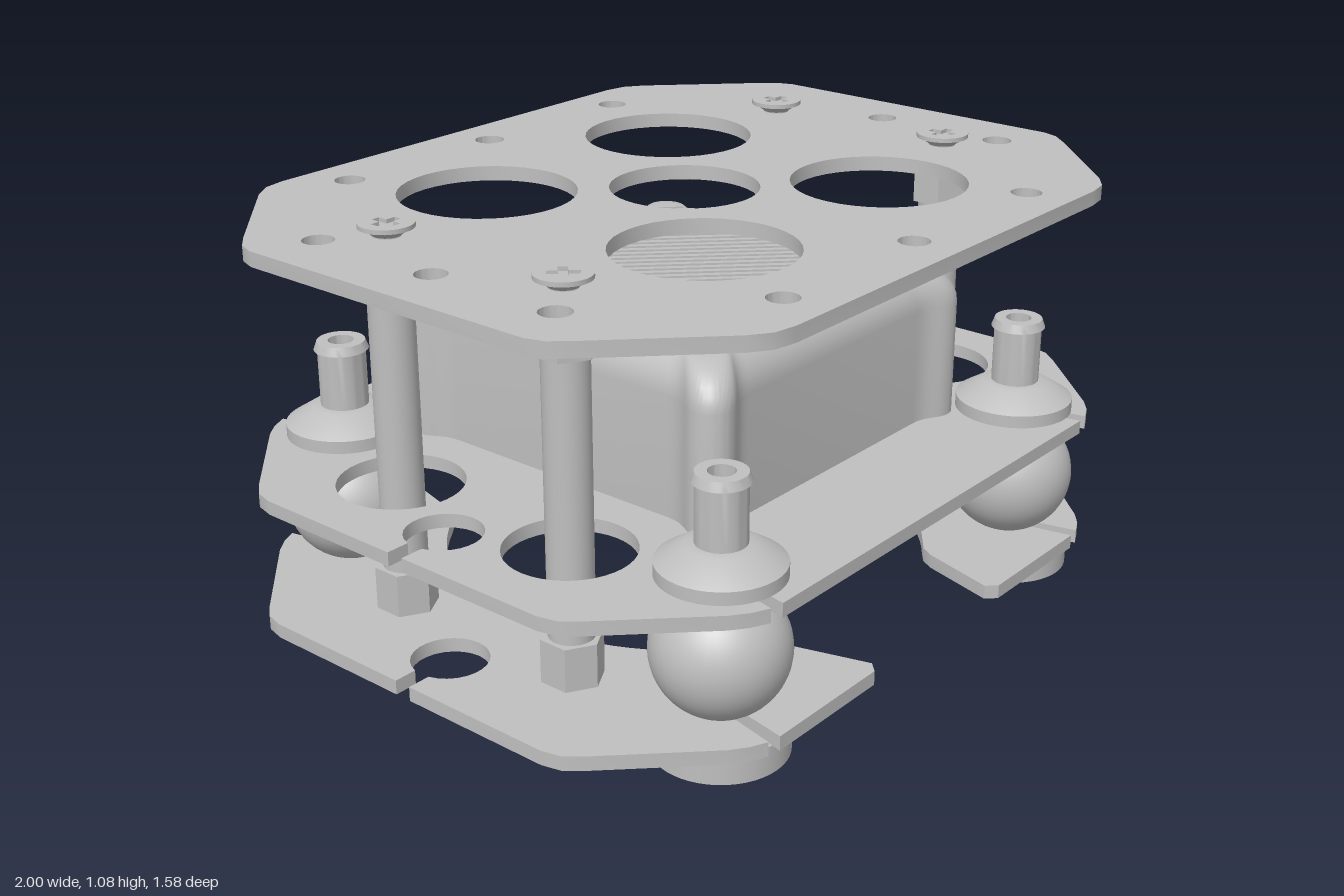
import * as THREE from 'three';
import { toCreasedNormals } from 'three/addons/utils/BufferGeometryUtils.js';

const grey = new THREE.MeshStandardMaterial({ color: 0xbfbfbf });
grey.name = 'grey';

const V = (x, y) => new THREE.Vector2(x, y);
const part = (name, geo, x = 0, y = 0, z = 0) => {
  const m = new THREE.Mesh(toCreasedNormals(geo, 0.6), grey);
  m.name = name;
  m.position.set(x, y, z);
  return m;
};

// Flat plate drawn in (x, z); its top lies at y = 0
function plate(points, holes, depth) {
  const shape = new THREE.Shape(points);
  for (const h of holes) {
    shape.holes.push(Array.isArray(h[0])
      ? new THREE.Path(h.map(([x, y]) => V(x, y)))
      : new THREE.Path().absarc(h[0], h[1], h[2], 0, Math.PI * 2));
  }
  return new THREE.ExtrudeGeometry(shape, { depth, bevelEnabled: false, curveSegments: 20 }).rotateX(Math.PI / 2);
}

const lathe = (pts, n = 40) => new THREE.LatheGeometry(pts.map(([r, y]) => V(r, y)), n);
const arc = (cx, cy, r, a, b, n) =>
  Array.from({ length: n + 1 }, (_, i) => V(cx + r * Math.cos(a + (b - a) * i / n), cy + r * Math.sin(a + (b - a) * i / n)));
// Append the mirror image of a path, so that it closes
const mirrorZ = (pts) => [...pts, ...pts.slice().reverse().map((p) => V(p.x, -p.y))];
const mirrorX = (pts) => [...pts, ...pts.slice().reverse().map((p) => V(-p.x, p.y))];

// Chamfered corner of a plate, from the front edge to the side
const corner = [[0.6, 0.79], [0.66, 0.78], [0.71, 0.745], [0.945, 0.51], [0.985, 0.465], [1, 0.42]].map(([x, z]) => V(x, z));
// The same corner with a narrow slit and half of the keyhole in the side
const slitCorner = [
  ...[[0.628, 0.79], [0.59, 0.6], [0.62, 0.6], [0.662, 0.785], [0.705, 0.765], [0.745, 0.735],
    [0.955, 0.52], [0.988, 0.48], [1, 0.43], [1, 0.022]].map(([x, z]) => V(x, z)),
  ...arc(0.85, 0, 0.093, 0.24, Math.PI - 0.01, 12),
];

// Square body with slightly hollow sides and a rounded top edge
function bodyGeometry() {
  let outline = [];
  for (let k = 0; k < 4; k++) {
    const s = new THREE.Shape();
    s.moveTo(0.47, -0.34);
    s.lineTo(0.47, 0.34);
    s.bezierCurveTo(0.47, 0.4, 0.505, 0.41, 0.505, 0.45);
    s.absarc(0.45, 0.45, 0.055, 0, Math.PI / 2);
    s.bezierCurveTo(0.41, 0.505, 0.4, 0.47, 0.34, 0.47);
    const pts = s.getPoints(8);
    pts.pop();
    outline.push(...pts.map((p) => p.rotateAround(V(0, 0), k * Math.PI / 2)));
  }
  const levels = [[0.43, 1]];
  for (let i = 0; i <= 8; i++) {
    const a = i / 8 * Math.PI / 2;
    levels.push([0.733 + 0.1 * Math.sin(a), 1 - 0.2 * (1 - Math.cos(a))]);
  }
  const pos = [], idx = [], n = outline.length;
  for (const [y, s] of levels) for (const p of outline) pos.push(p.x * s, y, p.y * s);
  for (let l = 0; l < levels.length - 1; l++) {
    for (let i = 0; i < n; i++) {
      const a = l * n + i, b = l * n + (i + 1) % n;
      idx.push(a, a + n, b, b, a + n, b + n);
    }
  }
  const top = (levels.length - 1) * n, c = pos.length / 3;
  pos.push(0, 0.833, 0);
  for (let i = 0; i < n; i++) idx.push(c, top + (i + 1) % n, top + i);
  const g = new THREE.BufferGeometry();
  g.setAttribute('position', new THREE.Float32BufferAttribute(pos, 3));
  g.setIndex(idx);
  return g;
}

// Countersunk screw head with a cross recess; the top lies at y = 0.03
function screw() {
  const g = new THREE.Group();
  g.name = 'screw';
  const a = 0.011, b = 0.036;
  const cross = [[a, a], [b, a], [b, -a], [a, -a], [a, -b], [-a, -b], [-a, -a], [-b, -a], [-b, a], [-a, a], [-a, b], [a, b]];
  g.add(part('screwCone', lathe([[0, -0.02], [0.034, -0.02], [0.034, 0], [0.06, 0.02], [0, 0.02]], 28)));
  g.add(part('screwFace', plate(arc(0, 0, 0.067, 0, Math.PI * 2 * 31 / 32, 31), [cross], 0.011), 0, 0.03, 0));
  return g;
}

export function createModel() {
  const model = new THREE.Group();
  const signs = [[1, 1], [1, -1], [-1, 1], [-1, -1]];
  const px = 0.727, pz = 0.273, bc = 0.605;

  // Top plate with large, centre and small holes
  const topHoles = [[0, 0, 0.185], [0, 0.67, 0.038], [0, -0.67, 0.038], [0.85, 0, 0.038], [-0.85, 0, 0.038]];
  for (const [sx, sz] of signs) {
    topHoles.push([sx * 0.34, sz * 0.34, 0.22], [sx * 0.487, sz * 0.67, 0.038], [sx * 0.85, sz * 0.365, 0.038]);
  }
  model.add(part('topPlate', plate(mirrorX(mirrorZ(corner)), topHoles, 0.037), 0, 1.048, 0));

  // Middle plate with clearance holes around the posts
  const half = mirrorZ(slitCorner);
  const midHoles = signs.map(([sx, sz]) => [sx * px, sz * pz, 0.155]);
  midHoles.push([0, 0, 0.033]);
  // The hole comes close to the keyhole but does not touch it
  model.add(part('middlePlate', plate(mirrorX(half), midHoles, 0.035), 0, 0.433, 0));

  // Two lower plates with a round inner cut
  const inner = [
    ...[[0.27, -0.79], [0.245, -0.765], [0.3, -0.57], [0.32, -0.535]].map(([x, z]) => V(x, z)),
    ...arc(0, 0, 0.62, -0.97, 0, 16),
  ];
  inner.pop();
  const lower = [...half, ...mirrorZ(inner)];
  for (const s of [1, -1]) {
    const pts = lower.map((p) => V(p.x * s, p.y));
    model.add(part(s > 0 ? 'leftLowerPlate' : 'rightLowerPlate', plate(pts, [], 0.036), 0, 0.107, 0));
  }

  // Body with fine diagonal ribs on top
  const body = new THREE.Group();
  body.name = 'body';
  body.add(part('bodyShell', bodyGeometry()));
  const flat = 0.39 * Math.SQRT2;
  for (let d = -0.51; d < 0.52; d += 0.03) {
    const rib = part('rib', new THREE.BoxGeometry(2 * (flat - Math.abs(d)), 0.012, 0.016),
      d * Math.SQRT1_2, 0.834, -d * Math.SQRT1_2);
    rib.rotation.y = -Math.PI / 4;
    body.add(rib);
  }
  model.add(body);

  for (const [sx, sz] of signs) {
    // Post with hexagonal ends and a screw at top and bottom
    const post = new THREE.Group();
    post.name = 'post';
    post.position.set(sx * px, 0, sz * pz);
    post.add(part('shaft', new THREE.CylinderGeometry(0.055, 0.055, 0.7, 32), 0, 0.558, 0));
    for (const y of [0.161, 0.956]) {
      post.add(part('hexEnd', new THREE.CylinderGeometry(0.076, 0.076, 0.11, 6), 0, y, 0));
    }
    const upper = screw(), under = screw();
    upper.position.y = 1.05;
    if (sx < 0 && sz > 0) upper.rotation.y = Math.PI / 4;
    under.position.y = 0.066;
    under.rotation.x = Math.PI;
    post.add(upper, under);
    model.add(post);

    // Ball between the plates, with a foot below and a hollow stem above
    const mount = new THREE.Group();
    mount.name = 'ballMount';
    mount.position.set(sx * bc, 0, sz * bc);
    mount.add(part('foot', new THREE.CylinderGeometry(0.162, 0.162, 0.072, 48), 0, 0.036, 0));
    mount.add(part('ball', new THREE.SphereGeometry(0.162, 40, 28), 0, 0.252, 0));
    mount.add(part('stem', lathe([
      [0, 0.42], [0.149, 0.432], [0.149, 0.465], [0.082, 0.508], [0.06, 0.51], [0.06, 0.652],
      [0.068, 0.655], [0.06, 0.677], [0.032, 0.677], [0.032, 0.6], [0, 0.6],
    ])));
    model.add(mount);
  }
  return model;
}
